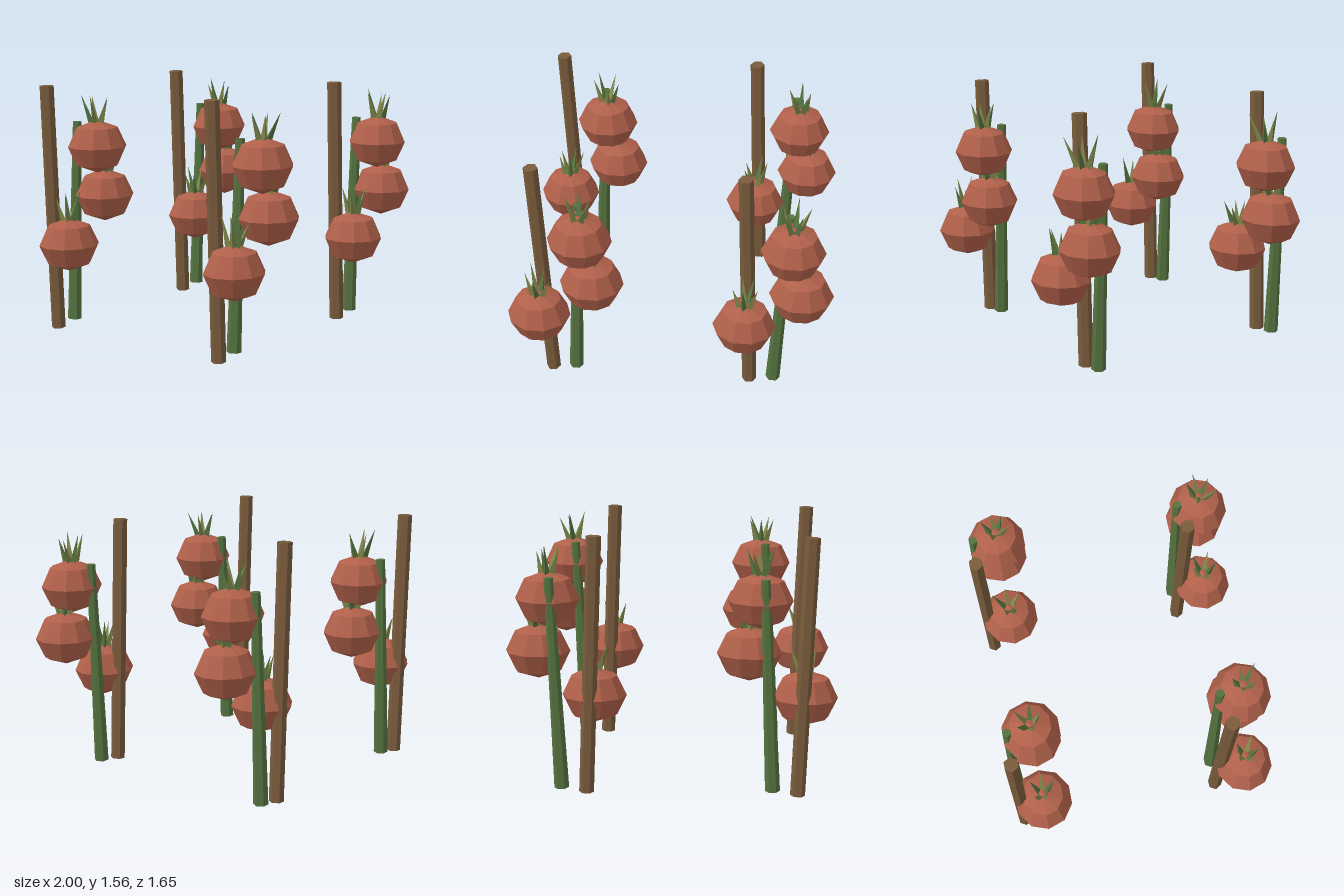
import * as THREE from 'three';

const flat = (name, color) => {
  const m = new THREE.MeshStandardMaterial({ color, flatShading: true });
  m.name = name;
  return m;
};

export function createModel() {
  const wood = flat('stake brown', 0x7a5c3c);
  const green = flat('vine green', 0x55733f);
  const olive = flat('leaf olive', 0x7f8649);
  const red = flat('fruit red', 0xb0604a);
  const up = new THREE.Vector3(0, 1, 0);

  // small seeded generator for leaf variation
  let seed = 7;
  const rand = () => (seed = (seed * 16807) % 2147483647) / 2147483647;

  // six-sided pole between two points, corners pointing to the sides
  const pole = (name, a, b, rBottom, rTop, material) => {
    const from = new THREE.Vector3(...a);
    const dir = new THREE.Vector3(...b).sub(from);
    const geometry = new THREE.CylinderGeometry(rTop, rBottom, dir.length(), 6);
    geometry.rotateY(Math.PI / 6);
    const mesh = new THREE.Mesh(geometry, material);
    mesh.name = name;
    mesh.position.copy(from).addScaledVector(dir, 0.5);
    mesh.quaternion.setFromUnitVectors(up, dir.normalize());
    return mesh;
  };

  // faceted fruit, corners pointing left and right
  const fruitGeometry = new THREE.SphereGeometry(1, 10, 4).scale(0.195, 0.17, 0.181);
  // pointed three-sided blade with its base at the origin
  const bladeGeometry = new THREE.ConeGeometry(0.024, 1, 3).translate(0, 0.5, 0);

  const fruit = (x, y, z) => {
    const group = new THREE.Group();
    group.name = 'fruit';
    group.position.set(x, y, z);
    const body = new THREE.Mesh(fruitGeometry, red);
    body.name = 'fruitBody';
    group.add(body);

    // crown of outward-leaning blades
    const crown = new THREE.Group();
    crown.name = 'leafCrown';
    crown.position.y = 0.145;
    const turn = rand() * Math.PI * 2;
    for (let i = 0; i < 5; i++) {
      const angle = turn + (i / 5) * Math.PI * 2 + (rand() - 0.5) * 0.4;
      const lean = 0.2 + rand() * 0.25;
      const blade = new THREE.Mesh(bladeGeometry, i % 2 ? green : olive);
      blade.name = 'leafBlade';
      blade.position.set(Math.sin(angle) * 0.028, 0, Math.cos(angle) * 0.028);
      blade.rotation.set(lean, angle, 0, 'YXZ');
      blade.scale.y = 0.15 + rand() * 0.06;
      crown.add(blade);
    }
    group.add(crown);
    return group;
  };

  // one staked plant with three fruits
  const plant = (x, z) => {
    const group = new THREE.Group();
    group.name = 'plant';
    group.position.set(x, 0, z);
    group.add(
      pole('stake', [-0.13, 0.002, -0.138], [-0.192, 1.56, -0.138], 0.045, 0.045, wood),
      pole('vine', [0.02, 0.027, -0.138], [0.078, 1.31, -0.138], 0.045, 0.028, green),
      fruit(0.105, 1.16, 0.007),
      fruit(0.168, 0.84, 0.007),
      fruit(-0.17, 0.57, 0.007)
    );
    return group;
  };

  const model = new THREE.Group();
  model.name = 'fruitPatch';
  for (const x of [-0.635, 0.635]) {
    for (const z of [-0.649, 0.649]) model.add(plant(x, z));
  }
  return model;
}
